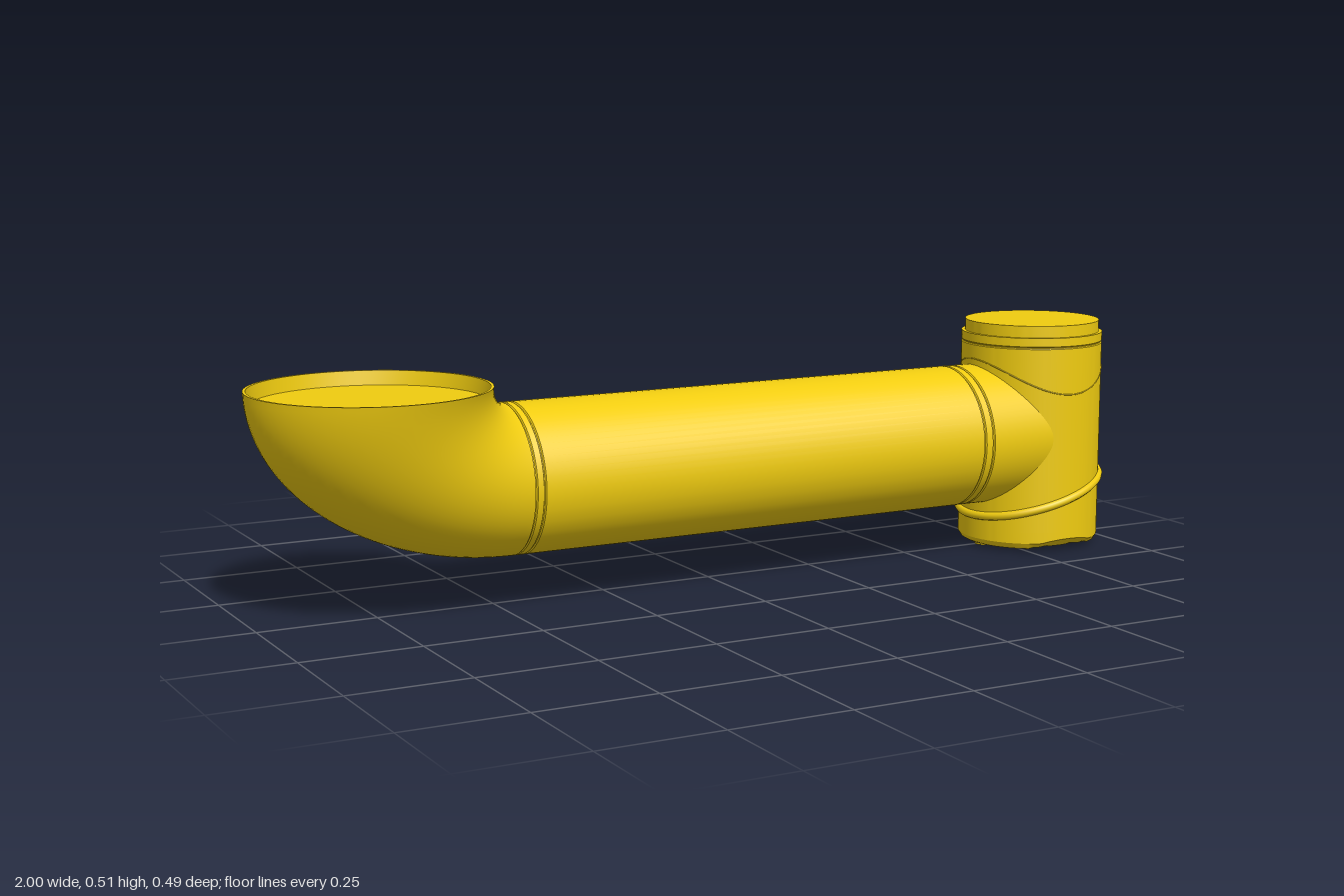
import * as THREE from 'three';
import { toCreasedNormals } from 'three/addons/utils/BufferGeometryUtils.js';

const material = new THREE.MeshStandardMaterial({ color: 0xf0cc10, side: THREE.DoubleSide });
const PIPE_Y = 0.257, PIPE_R = 0.157;
const BODY = { x: 0.832, z: 0.005, r: 0.158 };

function part(name, geometry, parent, x = 0, y = 0, z = 0) {
  const mesh = new THREE.Mesh(geometry, material);
  mesh.name = name;
  mesh.position.set(x, y, z);
  parent.add(mesh);
  return mesh;
}

function lathe(points, segments = 72) {
  return new THREE.LatheGeometry(points.map(([r, y]) => new THREE.Vector2(r, y)), segments);
}

// Flaring elbow: elliptical sections spanning an outer and an inner quarter arc
function elbowGeometry(rows = 40, cols = 72) {
  const positions = [], index = [];
  for (let i = 0; i <= rows; i++) {
    const t = i / rows, a = t * Math.PI / 2;
    const c = Math.cos(a), s = Math.sin(a);
    const ox = -0.47 - 0.53 * c, oy = 0.465 - 0.365 * s;
    const ix = -0.47 - 0.04 * c, iy = 0.465 - 0.051 * s;
    const halfWidth = 0.245 - 0.088 * t;
    for (let j = 0; j < cols; j++) {
      const p = j / cols * Math.PI * 2, k = Math.cos(p) / 2;
      positions.push((ox + ix) / 2 + (ox - ix) * k, (oy + iy) / 2 + (oy - iy) * k, halfWidth * Math.sin(p));
      if (i === rows) continue;
      const n = (j + 1) % cols, q = i * cols, r = q + cols;
      index.push(q + j, r + j, q + n, r + j, r + n, q + n);
    }
  }
  const g = new THREE.BufferGeometry();
  g.setAttribute('position', new THREE.Float32BufferAttribute(positions, 3));
  g.setIndex(index);
  g.computeVertexNormals();
  return g;
}

// Upright body with flat chamfers cut across the front and back of its base
function bodyGeometry() {
  const base = [];
  for (let r = 0; r < 0.145; r += 0.012) base.push([r, 0.006]);
  const g = lathe([...base, [0.145, 0.006], [0.152, 0.01], [BODY.r, 0.02], [BODY.r, 0.045],
    [BODY.r, 0.459], [0.156, 0.461], [0.156, 0.463], [BODY.r, 0.465],
    [BODY.r, 0.484], [0.15, 0.484], [0.15, 0.51], [0, 0.51]], 96);
  const pos = g.attributes.position;
  for (let i = 0; i < pos.count; i++) {
    const cut = 0.006 + (Math.abs(pos.getZ(i)) - 0.12) * 0.6;
    if (pos.getY(i) < cut) pos.setY(i, cut);
  }
  return toCreasedNormals(g, 0.4);
}

// Closed thin bead around the body whose height follows a rule
function bead(heightAt, radius, thickness) {
  const points = [];
  for (let i = 0; i < 64; i++) {
    const a = i / 64 * Math.PI * 2;
    points.push(new THREE.Vector3(radius * Math.cos(a), heightAt(a), radius * Math.sin(a)));
  }
  return new THREE.TubeGeometry(new THREE.CatmullRomCurve3(points, true), 128, thickness, 10, true);
}

export function createModel() {
  const model = new THREE.Group();
  model.name = 'pipeFitting';

  // Horizontal pipe with pairs of shallow joint grooves
  const profile = [[PIPE_R, -0.475]];
  for (const x of [-0.468, -0.449, 0.607, 0.629]) {
    profile.push([PIPE_R, x - 0.003], [PIPE_R - 0.003, x - 0.001],
      [PIPE_R - 0.003, x + 0.001], [PIPE_R, x + 0.003]);
  }
  profile.push([PIPE_R, BODY.x]);
  const pipe = part('horizontalPipe', toCreasedNormals(lathe(profile), 0.4), model, 0, PIPE_Y, 0);
  pipe.rotation.z = -Math.PI / 2;

  // Flared elbow and its recessed closing disc
  part('flaredElbow', elbowGeometry(), model);
  const lid = lathe([[0, 0.435], [0.234, 0.435], [0.239, 0.465], [0.245, 0.465]]);
  part('recessedLid', toCreasedNormals(lid, 0.4), model, -0.755, 0, 0);

  // Upright body with stepped cap
  const upright = new THREE.Group();
  upright.name = 'uprightFitting';
  upright.position.set(BODY.x, 0, BODY.z);
  model.add(upright);
  part('uprightBody', bodyGeometry(), upright);

  // Slanted reinforcing bead and saddle-shaped seam
  part('slantedBead', bead((a) => 0.12 + 0.047 * Math.cos(a), BODY.r, 0.0095), upright);
  part('saddleSeam', bead((a) => 0.392 + 0.036 * Math.cos(2 * a), BODY.r - 0.0005, 0.0015), upright);

  // Small locating bosses under the base
  for (const side of [-1, 1]) {
    part('baseBoss', new THREE.CylinderGeometry(0.02, 0.018, 0.014, 24), upright, side * 0.122, 0.007, 0);
  }
  return model;
}
